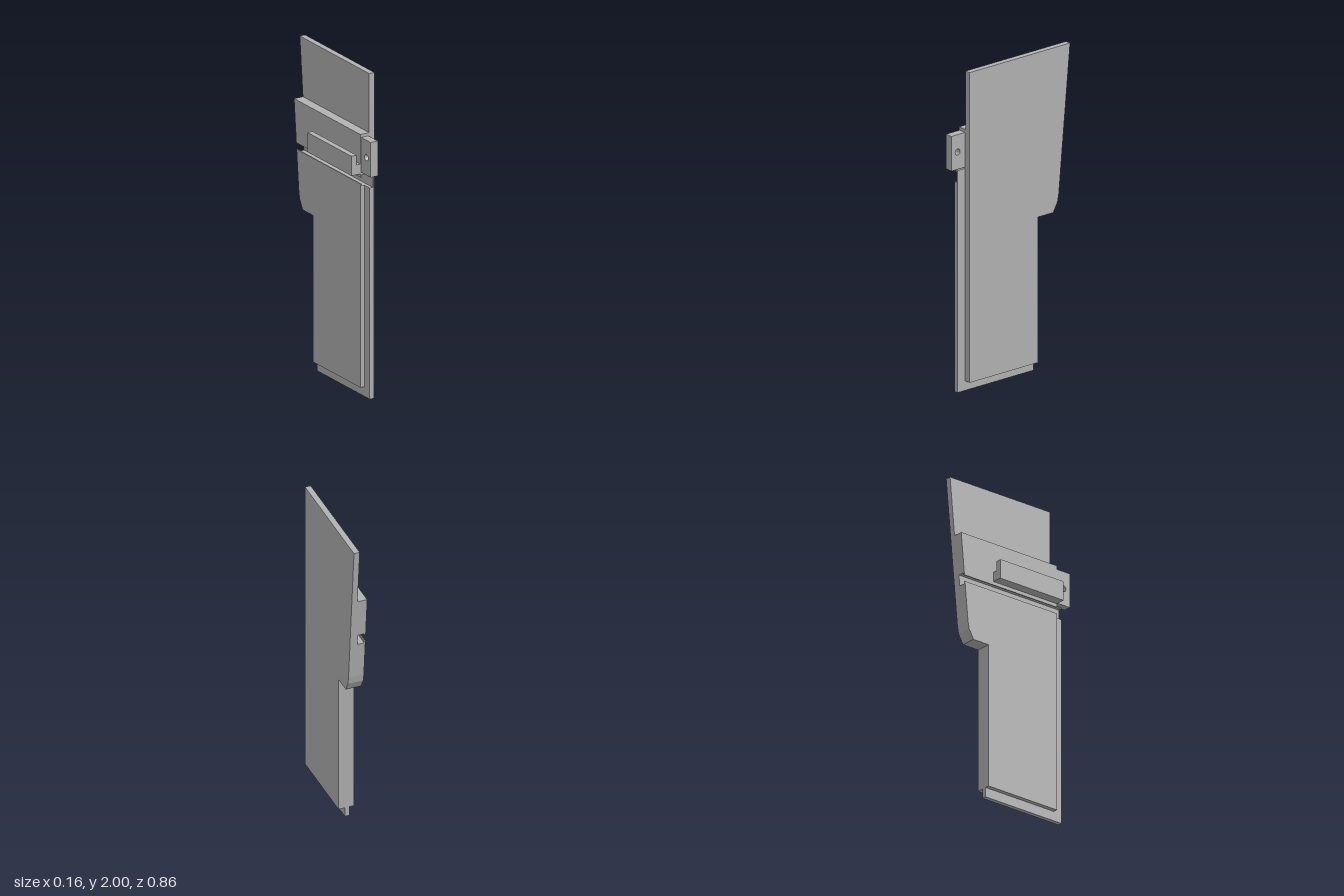
import * as THREE from 'three';

// Panel outline helper: back edge z at a given height
const EDGE = [[0.06, -0.19], [0.97, -0.19], [0.97, -0.305], [1.03, -0.338], [1.08, -0.347], [2, -0.432]];
const FRONT = 0.328;

function edgeAt(y) {
  for (let i = EDGE.length - 1; i > 0; i--) {
    const [y0, z0] = EDGE[i - 1], [y1, z1] = EDGE[i];
    if (y >= y0 && y1 > y0) return z0 + (z1 - z0) * (y - y0) / (y1 - y0);
  }
  return EDGE[0][1];
}

// Section of the panel outline between two heights, as [z, y] points
function band(y0, y1) {
  const inner = EDGE.filter(([y]) => y > y0 && y < y1).map(([y, z]) => [z, y]);
  return [[FRONT, y0], [edgeAt(y0), y0], ...inner, [edgeAt(y1), y1], [FRONT, y1]];
}

export function createModel() {
  const group = new THREE.Group();
  const grey = new THREE.MeshStandardMaterial({ color: 0xb3b3b3 });
  grey.name = 'plain grey';

  const add = (name, geometry) => {
    const mesh = new THREE.Mesh(geometry, grey);
    mesh.name = name;
    group.add(mesh);
  };

  // Extrudes a side outline of [z, y] points from x0 to x1
  const slab = (name, points, x0, x1, hole) => {
    const shape = new THREE.Shape(points.map(([z, y]) => new THREE.Vector2(-z, y)));
    if (hole) {
      const path = new THREE.Path();
      path.absarc(-hole[0], hole[1], hole[2], 0, Math.PI * 2, true);
      shape.holes.push(path);
    }
    const geo = new THREE.ExtrudeGeometry(shape, { depth: x1 - x0, bevelEnabled: false, curveSegments: 24 });
    add(name, geo.rotateY(Math.PI / 2).translate(x0, 0, 0));
  };

  const box = (name, x0, x1, y0, y1, z0, z1) =>
    add(name, new THREE.BoxGeometry(x1 - x0, y1 - y0, z1 - z0)
      .translate((x0 + x1) / 2, (y0 + y1) / 2, (z0 + z1) / 2));

  // Tall face plate
  slab('facePlate', band(0.06, 2), 0.043, 0.079);

  // Thicker backing, split by a lipped groove
  const back = -0.018, groove = 0.031;
  slab('lowerBacking', band(0.06, 1.313), back, 0.043);
  slab('upperBacking', band(1.381, 1.633), back, 0.043);
  slab('grooveFloor', band(1.313, 1.381), groove, 0.043);
  slab('lowerGrooveLip', band(1.313, 1.326), back, -0.011);
  slab('upperGrooveLip', band(1.366, 1.381), back, -0.011);

  // Thin tongue along the front and bottom edges, notched by the groove
  const t0 = 0.01, t1 = 0.038;
  slab('tongue', [[-0.19, 0], [-0.19, 0.06], [FRONT, 0.06], [FRONT, 1.313], [0.386, 1.313], [0.386, 0]], t0, t1);
  box('tongueWeb', groove, t1, 1.313, 1.381, FRONT, 0.386);
  box('tongueTip', t0, t1, 1.381, 1.389, FRONT, 0.386);

  // Tab with a round hole
  slab('tab', [[FRONT, 1.397], [FRONT, 1.614], [0.432, 1.614], [0.432, 1.397]], -0.012, 0.038, [0.384, 1.505, 0.019]);

  // L-shaped hook rail on the back
  const hook = new THREE.Shape([[-0.08, 1.388], [back, 1.388], [back, 1.449], [-0.045, 1.449], [-0.045, 1.51], [-0.08, 1.51]]
    .map(([x, y]) => new THREE.Vector2(x, y)));
  add('hookRail', new THREE.ExtrudeGeometry(hook, { depth: FRONT + 0.152, bevelEnabled: false }).translate(0, 0, -0.152));

  return group;
}
